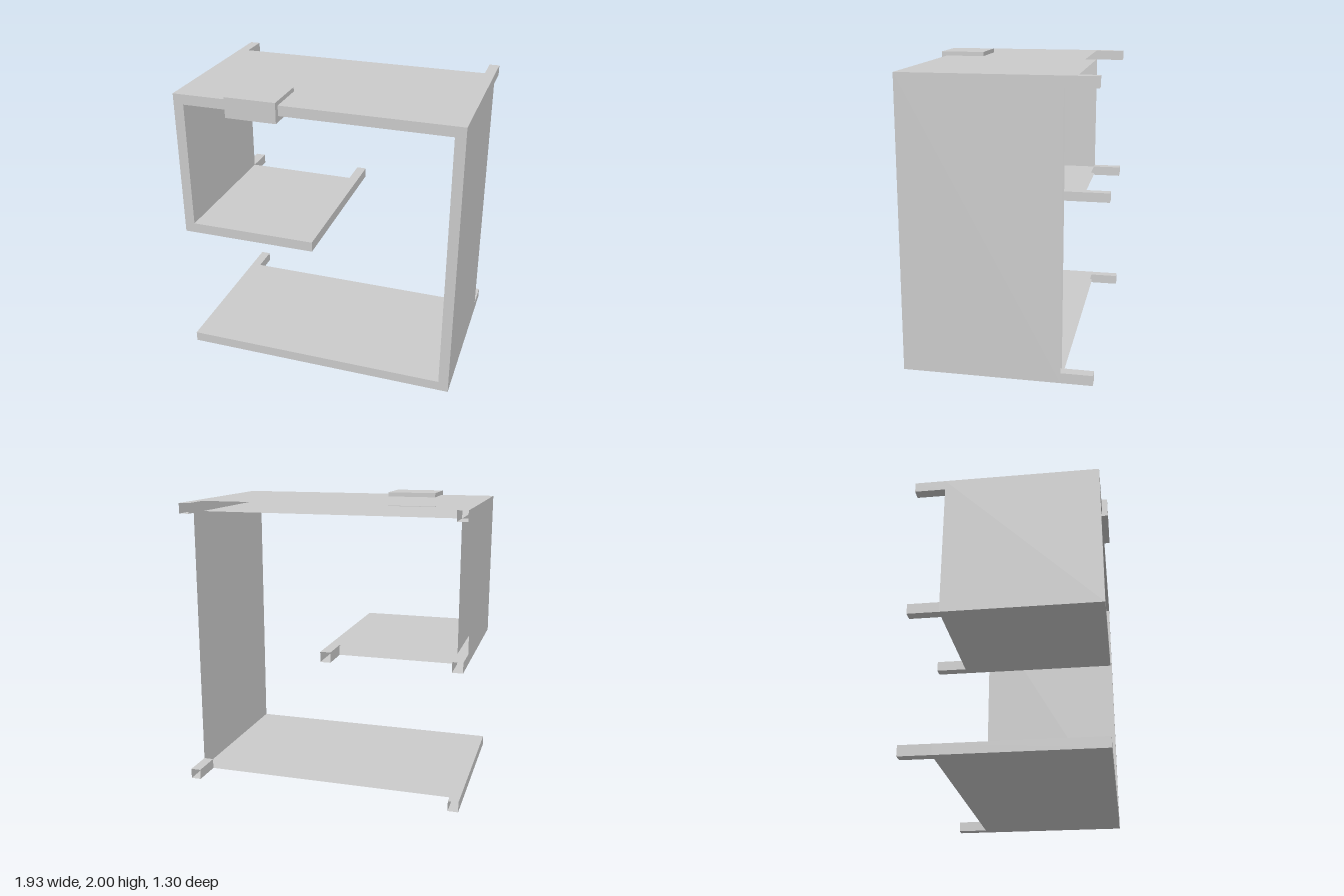
import * as THREE from 'three';

const W = 0.966, T = 0.07, TOP = 1.97, SHELF = 0.95, SHELF_END = -0.02;
const FRONT = 0.61, BACK = -0.44, PEG_END = -0.65;

const material = new THREE.MeshStandardMaterial({ color: 0xcccccc, flatShading: true, side: THREE.DoubleSide });

function addMesh(parent, name, geometry) {
  const mesh = new THREE.Mesh(geometry, material);
  mesh.name = name;
  parent.add(mesh);
  return mesh;
}

// Thin walls along a closed counter-clockwise outline, open at both ends.
function wallsAlong(outline, zBack, zFront) {
  const pos = [];
  outline.forEach(([ax, ay], i) => {
    const [bx, by] = outline[(i + 1) % outline.length];
    pos.push(ax, ay, zBack, bx, by, zBack, bx, by, zFront);
    pos.push(ax, ay, zBack, bx, by, zFront, ax, ay, zFront);
  });
  const g = new THREE.BufferGeometry();
  g.setAttribute('position', new THREE.Float32BufferAttribute(pos, 3));
  g.computeVertexNormals();
  return g;
}

export function createModel() {
  const model = new THREE.Group();
  model.name = 'shelfUnit';

  // Hollow folded panel: base, tall side, top, short side and shelf, open at the back
  const outline = [
    [-W, 0], [W, 0], [W, TOP], [-W, TOP], [-W, SHELF], [SHELF_END, SHELF],
    [SHELF_END, SHELF + T], [-W + T, SHELF + T], [-W + T, TOP - T],
    [W - T, TOP - T], [W - T, T], [-W, T],
  ];
  const body = new THREE.Group();
  body.name = 'foldedPanel';
  model.add(body);
  addMesh(body, 'panelWalls', wallsAlong(outline, BACK, FRONT));
  const face = new THREE.Shape(outline.map(([x, y]) => new THREE.Vector2(x, y)));
  addMesh(body, 'frontEdge', new THREE.ShapeGeometry(face)).position.z = FRONT;

  // Open square tubes running out of the back at each corner and panel end
  const pegs = [
    [-W, 0], [W - T, 0], [-W, SHELF], [SHELF_END - T, SHELF], [-W, TOP - T], [W - T, TOP - T],
  ];
  for (const [x, y] of pegs) {
    const square = [[x, y], [x + T, y], [x + T, y + T], [x, y + T]];
    addMesh(model, 'backPeg', wallsAlong(square, PEG_END, BACK));
  }

  // Block gripping the front edge of the top
  addMesh(model, 'topClip', new THREE.BoxGeometry(0.35, 0.14, 0.32)).position.set(-0.405, 1.93, 0.49);

  return model;
}
